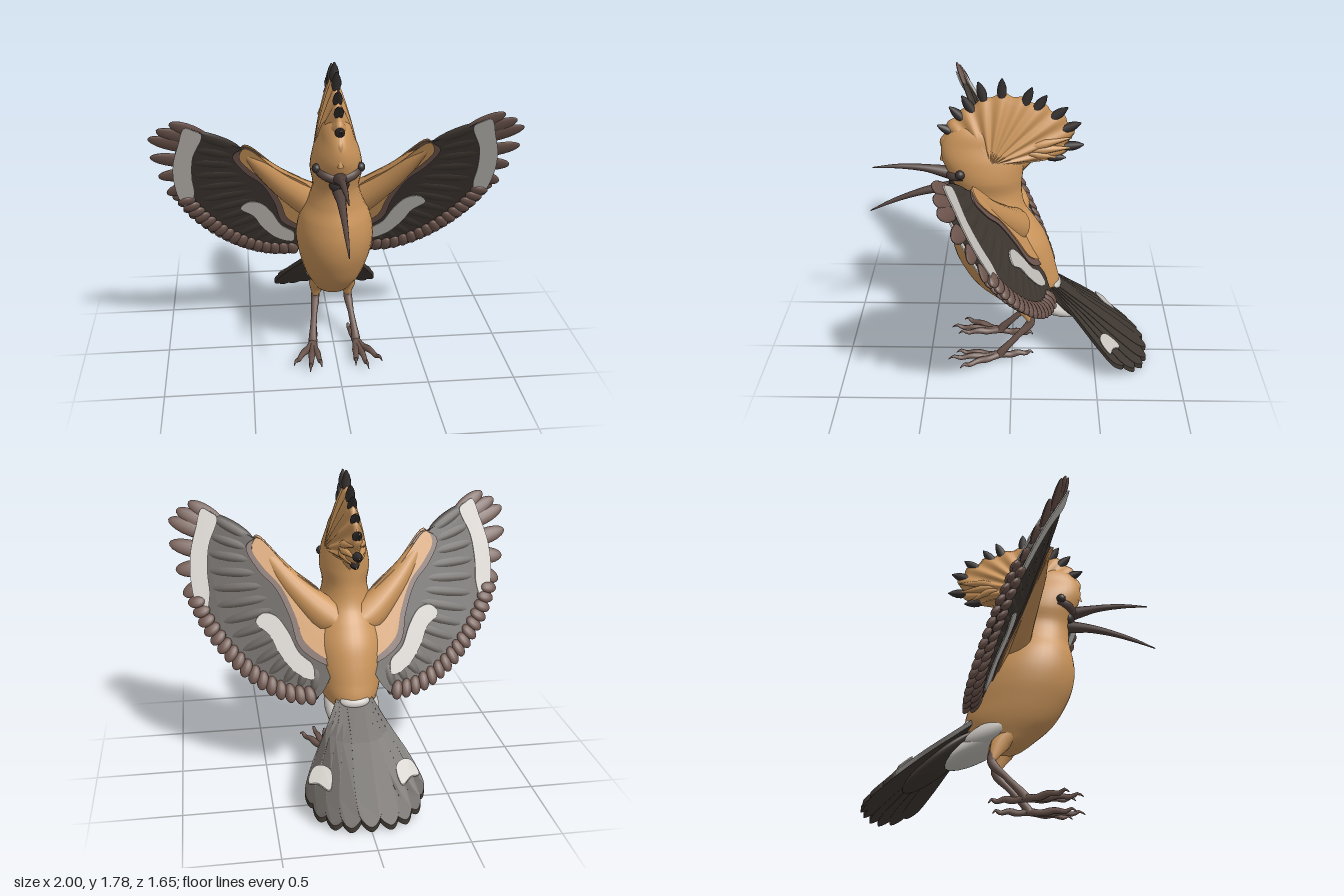
import * as THREE from 'three';
import { ParametricGeometry } from 'three/addons/geometries/ParametricGeometry.js';

const mat = (name, color) => Object.assign(new THREE.MeshStandardMaterial({ color }), { name });
const orange = mat('orange plumage', 0xcb955b);
const dark = mat('dark feathers', 0x3f3832);
const brown = mat('brown feathers', 0x6e564e);
const white = mat('pale feathers', 0xc8c4be);
const black = mat('black tips', 0x35302f);
const horn = mat('beak horn', 0x54443f);
const skin = mat('leg skin', 0x6b554d);

const V = (x, y, z = 0) => new THREE.Vector3(x, y, z);
const spline = (pts, closed = false) => new THREE.CatmullRomCurve3(pts.map(p => V(...p)), closed, 'centripetal');

// Planes in which the feathers lie: (across, along, thickness) -> model space
const wingZ = (x, y) => 0.5 * y + 0.1 * Math.abs(x) - 0.5;
const wingMap = v => v.setZ(v.z + wingZ(v.x, v.y));
const tailMap = v => v.set(v.x, 0.515 + 0.836 * (0.23 - v.y) - 0.6 * v.x * v.x + v.z, -v.y);

function remap(geo, map) {
  const p = geo.attributes.position, v = V(0, 0);
  for (let i = 0; i < p.count; i++) {
    map(v.fromBufferAttribute(p, i));
    p.setXYZ(i, v.x, v.y, v.z);
  }
  geo.computeVertexNormals();
  return geo;
}

export function createModel() {
  const model = new THREE.Group();
  model.name = 'bird';
  const add = (name, geo, material, parent = model) => {
    const m = new THREE.Mesh(geo, material);
    m.name = name;
    parent.add(m);
    return m;
  };

  // Tapered tube through points
  const limb = (name, pts, radii, material, parent, sides = 10) => {
    const curve = spline(pts), n = 16;
    const geo = new THREE.TubeGeometry(curve, n, 1, sides, false);
    const p = geo.attributes.position, v = V(0, 0);
    for (let i = 0; i <= n; i++) {
      const c = curve.getPointAt(i / n), f = (i / n) * (radii.length - 1);
      const k = Math.min(Math.floor(f), radii.length - 2);
      const r = THREE.MathUtils.lerp(radii[k], radii[k + 1], f - k);
      for (let j = 0; j <= sides; j++) {
        const q = i * (sides + 1) + j;
        v.fromBufferAttribute(p, q).sub(c).multiplyScalar(r).add(c);
        p.setXYZ(q, v.x, v.y, v.z);
      }
    }
    return add(name, geo, material, parent);
  };

  // Flat plate with a smooth outline, from height h to h + depth
  const plate = (name, pts, h, depth, map, material, parent) => {
    const outline = spline(pts, true).getPoints(pts.length * 6).slice(0, -1);
    const shape = new THREE.Shape(outline.map(p => new THREE.Vector2(p.x, p.y)));
    const geo = new THREE.ExtrudeGeometry(shape, { depth, bevelEnabled: false });
    return add(name, remap(geo.translate(0, 0, h), map), material, parent);
  };

  // Almond wing feather from a to b
  const feather = (name, a, b, half, thick, lift, material, parent) => {
    const dx = b[0] - a[0], dy = b[1] - a[1];
    const geo = new THREE.SphereGeometry(1, 12, 10);
    geo.scale(half, Math.hypot(dx, dy) / 2, thick).rotateZ(-Math.atan2(dx, dy));
    geo.translate((a[0] + b[0]) / 2, (a[1] + b[1]) / 2, lift);
    return add(name, remap(geo, wingMap), material, parent);
  };

  const blob = (name, pos, radii, material, tilt = 0) => {
    const m = add(name, new THREE.SphereGeometry(1, 24, 16), material);
    m.position.set(...pos);
    m.scale.set(...radii);
    m.rotation.x = tilt;
  };

  // Body, neck and head: [y, front z, back z, half width]
  const rings = [[.32, -.03, -.13, .02], [.36, .05, -.2, .1], [.42, .13, -.25, .135], [.5, .22, -.28, .17],
    [.6, .285, -.26, .197], [.7, .33, -.235, .217], [.8, .35, -.2, .22], [.9, .345, -.14, .2], [1, .325, -.075, .155],
    [1.1, .325, -.055, .13], [1.2, .355, -.06, .145], [1.3, .395, -.07, .13], [1.38, .395, -.06, .1],
    [1.46, .35, 0, .07], [1.52, .28, .05, .01]];
  const edges = new THREE.CatmullRomCurve3(rings.map(r => V(r[0], r[1], r[2])));
  const widths = new THREE.CatmullRomCurve3(rings.map(r => V(r[0], r[3])));
  add('body', new ParametricGeometry((u, v, out) => {
    const e = edges.getPoint(v), w = widths.getPoint(v).y, a = u * Math.PI * 2;
    out.set(Math.cos(a) * w, e.x, (e.y + e.z) / 2 - Math.sin(a) * (e.y - e.z) / 2);
  }, 36, 56), orange);

  // Rippled crest fan, one half for each side
  const rim = spline([[0, 1.28, .4], [0, 1.4, .395], [0, 1.52, .34], [0, 1.61, .225], [0, 1.675, .07], [0, 1.65, -.07],
    [0, 1.58, -.23], [0, 1.49, -.33], [0, 1.39, -.32], [0, 1.31, -.27], [0, 1.265, -.1], [0, 1.15, -.04]]);
  for (const s of [1, -1]) {
    add('crest', new ParametricGeometry((u, v, out) => {
      const t = s > 0 ? u : 1 - u, wave = Math.cos(t * Math.PI * 26);
      const r = v * (1 + 0.025 * wave * v);
      const x = (0.1 * (1 - v) + 0.025 * Math.sqrt(Math.max(0, 1 - v * v))) * (1 + 0.18 * v * wave);
      const b = rim.getPointAt(t);
      out.set(s * x, 1.3 + (b.y - 1.3) * r, 0.12 + (b.z - 0.12) * r);
    }, 100, 14), orange);
    // Loose plumes behind the head
    for (const [y, z] of [[1.43, -.33], [1.37, -.33], [1.31, -.25]])
      limb('loosePlume', [[s * .05, 1.36, -.04], [s * .05, (y + 1.37) / 2, -.16], [s * .02, y, z]], [.012, .025, .003], orange);
  }
  // Black crest tips: [z, y]
  for (const [z, y] of [[.415, 1.49], [.345, 1.6], [.275, 1.665], [.185, 1.745], [.055, 1.765], [-.11, 1.715], [-.19, 1.67],
    [-.305, 1.6], [-.38, 1.51], [-.4, 1.38], [-.3, 1.3]]) {
    const d = V(0, y - 1.33, z - .06).normalize();
    const at = k => [0, y - d.y * k, z - d.z * k];
    limb('crestTip', [at(.11), at(.06), at(.02), at(0)], [.02, .027, .026, .018, .003], black);
  }

  // Open beak, mouth, eyes and face stripe
  limb('upperBeak', [[0, 1.2, .33], [0, 1.232, .5], [0, 1.24, .65], [0, 1.23, .79]], [.042, .022, .014, .003], horn);
  limb('lowerBeak', [[0, 1.12, .3], [0, 1.1, .45], [0, 1.055, .6], [0, 1.005, .72], [0, .955, .82]], [.04, .026, .018, .012, .003], horn);
  blob('mouth', [0, 1.16, .325], [.055, .05, .035], black);
  for (const s of [1, -1]) {
    limb('faceStripe', [[s * .118, 1.23, .265], [s * .075, 1.215, .325], [0, 1.195, .35]], [.02, .028, .03], horn);
    blob('eye', [s * .12, 1.243, .287], [.025, .027, .027], black);
  }

  // Wings
  for (const s of [1, -1]) {
    const wing = new THREE.Group();
    wing.name = s > 0 ? 'leftWing' : 'rightWing';
    model.add(wing);
    const m = pts => pts.map(([x, y]) => [s * x, y]);
    const both = (name, pts, h, material) => {
      for (const z of [h, -h - .007]) plate(name, m(pts), z, .007, wingMap, material, wing);
    };
    plate('wingBlade', m([[.08, .98], [.17, 1.02], [.33, 1.19], [.5, 1.34], [.66, 1.43], [.8, 1.51], [.85, 1.38], [.87, 1.22],
      [.87, 1.08], [.84, .96], [.76, .82], [.65, .7], [.51, .61], [.36, .54], [.22, .52], [.12, .65]]), -.015, .03, wingMap, dark, wing);
    // Dark flight feathers
    const inner = spline(m([[.52, 1.34], [.5, 1.24], [.42, 1.12], [.37, 1.02], [.33, .92], [.3, .82], [.26, .74], [.2, .7]]));
    const outer = spline(m([[.78, 1.48], [.84, 1.3], [.85, 1.12], [.81, .94], [.72, .79], [.58, .66], [.41, .57], [.24, .52]]));
    for (let i = 0; i < 14; i++) {
      const a = inner.getPoint(i / 13), b = outer.getPoint(i / 13);
      feather('flightFeather', [a.x, a.y], [b.x, b.y], .04, .02, 0, dark, wing);
    }
    // Brown primary tips
    for (const [ax, ay, bx, by] of [[.68, 1.42, .88, 1.545], [.73, 1.4, .95, 1.505], [.74, 1.36, .998, 1.455], [.75, 1.27, 1, 1.33],
      [.76, 1.2, .97, 1.19], [.76, 1.13, .935, 1.06]])
      feather('primaryTip', [s * ax, ay], [s * bx, by], .045, .018, 0, brown, wing);
    // Scalloped brown trailing edge in two rows
    const trail = spline(m([[.91, 1.02], [.84, .88], [.75, .76], [.64, .65], [.5, .555], [.36, .5], [.21, .485]]));
    for (let i = 0; i < 32; i++) {
      const p = trail.getPointAt(i / 31), d = V(s * .4 - p.x, 1.1 - p.y).normalize();
      const k = i % 2 ? .018 : 0;
      feather('trailingFeather', [p.x + d.x * (.1 + k), p.y + d.y * (.1 + k)], [p.x + d.x * k, p.y + d.y * k],
        .033, .026, i % 2 ? .016 : -.018, brown, wing);
    }
    // Colour bands on both faces
    both('paleBand', [[.72, 1.465], [.76, 1.497], [.805, 1.515], [.845, 1.41], [.882, 1.28], [.888, 1.14], [.86, 1], [.82, .95], [.785, 1.06], [.79, 1.18], [.775, 1.32]], .021, white);
    both('paleBar', [[.49, .965], [.535, .92], [.46, .85], [.42, .77], [.33, .66], [.23, .62], [.225, .69], [.3, .76], [.355, .87], [.42, .95]], .021, white);
    both('brownRim', [[.1, 1], [.33, 1.19], [.5, 1.35], [.565, 1.31], [.505, 1.19], [.41, 1.09], [.34, .94], [.29, .78], [.1, .69]], .021, brown);
    both('shoulderPlumage', [[.1, 1], [.33, 1.2], [.5, 1.36], [.532, 1.3], [.47, 1.2], [.378, 1.1], [.308, .95], [.26, .81], [.1, .72]], .028, orange);
    const arm = [[0, .86], [.13, .94], [.3, 1.09], [.43, 1.24], [.51, 1.325]];
    limb('wingArm', arm.map(([x, y]) => [s * x, y, wingZ(x, y) + .015]), [.03, .105, .085, .068, .05, .012], orange, wing, 16);
  }

  // Tail fan
  const tail = new THREE.Group();
  tail.name = 'tail';
  model.add(tail);
  [[0, .83], [.11, .82], [.195, .79], [.265, .735], [.305, .66]].forEach(([tx, tw], i) => {
    for (const s of i ? [1, -1] : [1]) {
      const a = Math.atan2(s * tx, tw - .15), L = Math.hypot(tx, tw - .15), w = .066;
      const pts = [[-.03, 0], [-.05, .45], [-w, .78], [-.8 * w, .94], [0, 1], [.8 * w, .94], [w, .78], [.05, .45], [.03, 0]]
        .map(([x, k]) => [x * Math.cos(a) + k * L * Math.sin(a), .15 + k * L * Math.cos(a) - x * Math.sin(a)]);
      plate('tailFeather', pts, -.022 - i * .003, .03, tailMap, dark, tail);
    }
  });
  for (const s of [1, -1])
    plate('tailPatch', [[.18, .57], [.22, .53], [.275, .525], [.31, .58], [.26, .6], [.2, .645]].map(([x, w]) => [s * x, w]), .008, .008, tailMap, white, tail);
  blob('undertailCoverts', [0, .385, -.18], [.14, .065, .245], white, -.5);
  for (const s of [1, -1]) blob('paleFlank', [s * .105, .43, -.13], [.055, .055, .15], white, -.45);
  blob('tailRoot', [0, .3, -.41], [.14, .045, .27], dark, -.68);
  blob('rump', [0, .5, -.255], [.085, .025, .045], white, -.7);

  // Legs and feet
  for (const s of [1, -1]) {
    const leg = new THREE.Group();
    leg.name = s > 0 ? 'leftLeg' : 'rightLeg';
    model.add(leg);
    const m = pts => pts.map(([x, y, z]) => [s * x, y, z]);
    limb('thigh', m([[.075, .44, -.01], [.09, .36, -.07], [.1, .275, -.11]]), [.05, .052, .022], orange, leg, 14);
    limb('shank', m([[.1, .32, -.1], [.1, .26, -.115], [.115, .16, -.03], [.13, .06, .06], [.13, .035, .075]]), [.024, .026, .018, .02, .028], skin, leg);
    for (const [x, z] of [[.1, .34], [.17, .385], [.26, .31], [.1, -.13]]) {
      const at = (k, y) => [.13 + (x - .13) * k, y, .07 + (z - .07) * k];
      limb('toe', m([at(0, .04), at(.3, .03), at(.55, .04), at(.78, .03), at(.9, .045), at(1, .025)]), [.024, .018, .022, .016, .013, .002], skin, leg, 8);
    }
  }
  return model;
}
